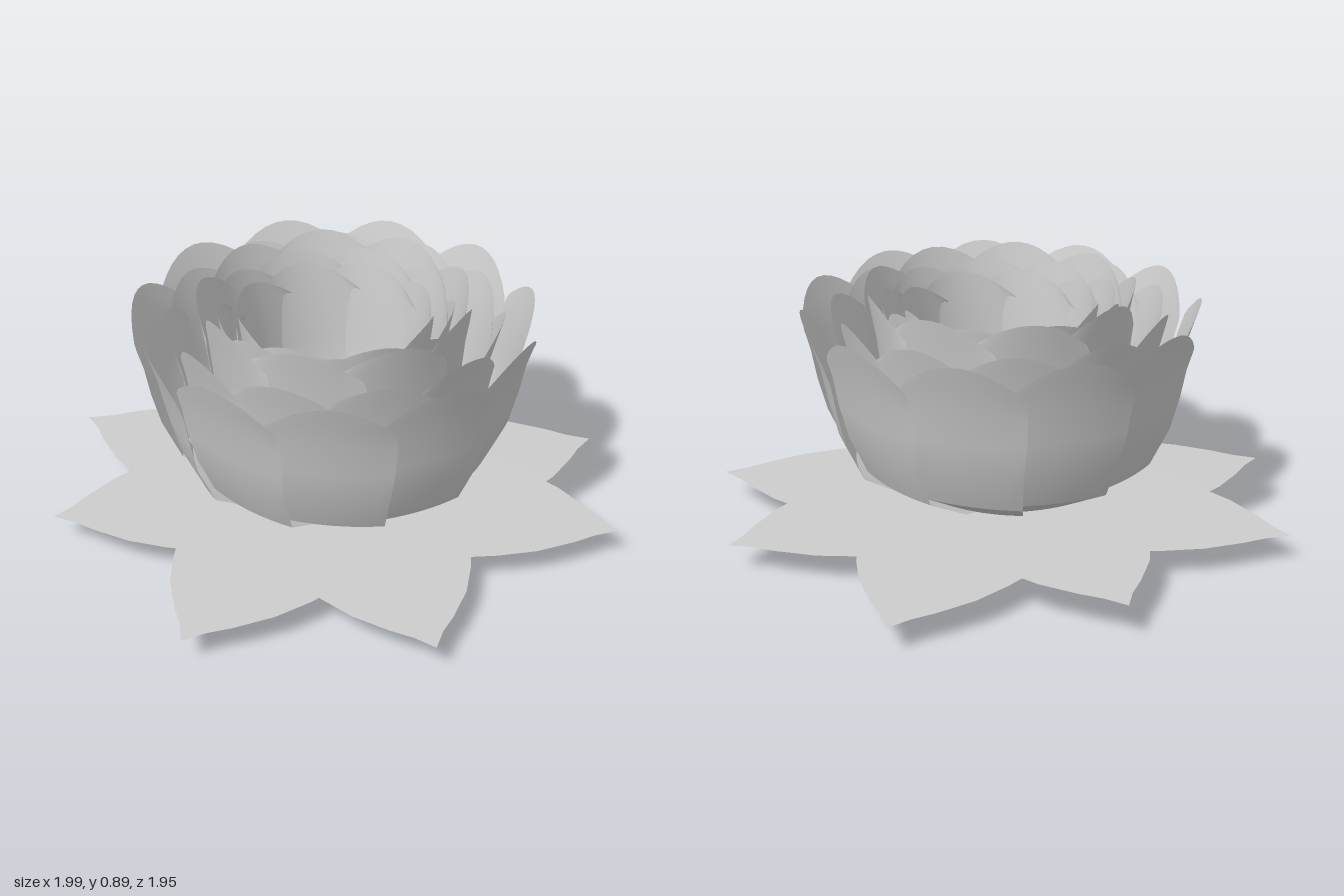
import * as THREE from 'three';
import { toCreasedNormals } from 'three/addons/utils/BufferGeometryUtils.js';

// Side profile of an outer petal: radius, height, half width, how far the rounded corners drop
const PROFILE = [
  [0.07, 0.075, 0.05, 0],
  [0.13, 0.115, 0.085, 0],
  [0.31, 0.165, 0.14, 0],
  [0.51, 0.28, 0.175, 0],
  [0.575, 0.42, 0.19, 0],
  [0.605, 0.54, 0.205, 0],
  [0.63, 0.66, 0.21, 0.02],
  [0.665, 0.77, 0.21, 0.06],
  [0.685, 0.83, 0.20, 0.10],
];

// One cupped petal facing +z, as a grid of cross-sections bent partly round the flower axis
function petalGeometry(spread, height) {
  const cols = 10, pos = [], index = [];
  PROFILE.forEach(([r, y, half, drop], row) => {
    const radius = row < 2 ? r : 0.06 + (r - 0.06) * spread;
    const lift = 0.07 + (y - 0.07) * (height - 0.07) / 0.76;
    const width = Math.min(half, 0.7 * radius);
    for (let c = 0; c <= cols; c++) {
      const u = (c / cols) * 2 - 1;
      // one edge sits outside its neighbour, and the corners lean in
      const rr = radius + (row > 1 ? 0.02 * u * spread : 0) - drop * 0.35 * u * u;
      const bend = row < 2 ? 0 : 0.35 * width * width / radius;
      pos.push(u * width, lift - drop * u * u, rr - bend * u * u);
      if (row > 0 && c > 0) {
        const b = row * (cols + 1) + c, a = b - 1, d = b - cols - 1, e = d - 1;
        index.push(e, d, b, e, b, a);
      }
    }
  });
  const geo = new THREE.BufferGeometry();
  geo.setAttribute('position', new THREE.Float32BufferAttribute(pos, 3));
  geo.setIndex(index);
  return toCreasedNormals(geo, 0.5);
}

// Pointed leaf of unit length, pointing to -z and sinking slightly towards its tip
function leafGeometry() {
  const side = [[0.045, 0.09], [0.17, 0.25], [0.29, 0.42], [0.31, 0.53],
    [0.265, 0.64], [0.20, 0.76], [0.11, 0.87], [0.05, 0.93]];
  const shape = new THREE.Shape([
    ...side.map(([x, y]) => new THREE.Vector2(x, y)),
    new THREE.Vector2(0, 1),
    ...side.slice().reverse().map(([x, y]) => new THREE.Vector2(-x, y)),
  ]);
  return new THREE.ShapeGeometry(shape).rotateX(-Math.PI / 2 - 0.014);
}

export function createModel() {
  const grey = new THREE.MeshStandardMaterial({ color: 0xcccccc, side: THREE.DoubleSide });
  grey.name = 'light grey';
  const model = new THREE.Group();
  model.name = 'flower';
  const add = (geo, name, parent) => {
    const mesh = new THREE.Mesh(geo, grey);
    mesh.name = name;
    parent.add(mesh);
    return mesh;
  };

  // Round heart at the base
  add(new THREE.SphereGeometry(0.085, 32, 20), 'heart', model).position.y = 0.087;

  // Rings of petals from the outside in: count, spread, height, turn in degrees
  const rings = [[11, 1, 0.83, 14], [11, 0.82, 0.825, 30], [9, 0.645, 0.89, 8],
    [9, 0.55, 0.85, 24], [8, 0.44, 0.83, 5]];
  rings.forEach(([count, spread, height, turn], k) => {
    const ring = new THREE.Group();
    ring.name = 'petalRing' + (k + 1);
    const geo = petalGeometry(spread, height);
    for (let i = 0; i < count; i++) {
      add(geo, 'petal', ring).rotation.y = turn * Math.PI / 180 + i * 2 * Math.PI / count;
    }
    model.add(ring);
  });

  // Eight leaves lying almost flat: tip x, tip z, height of the inner end
  const tips = [[0, -0.98, 0.146], [0.715, -0.755, 0.114], [1, -0.01, 0.112], [0.845, 0.567, 0.115],
    [0.03, 0.97, 0.113], [-0.73, 0.70, 0.116], [-0.995, -0.107, 0.112], [-0.755, -0.717, 0.115]];
  const leaves = new THREE.Group();
  leaves.name = 'leaves';
  const leaf = leafGeometry();
  for (const [x, z, y] of tips) {
    const mesh = add(leaf, 'leaf', leaves);
    mesh.scale.z = Math.hypot(x, z);
    mesh.rotation.y = Math.atan2(-x, -z);
    mesh.position.y = y;
  }
  model.add(leaves);
  return model;
}
